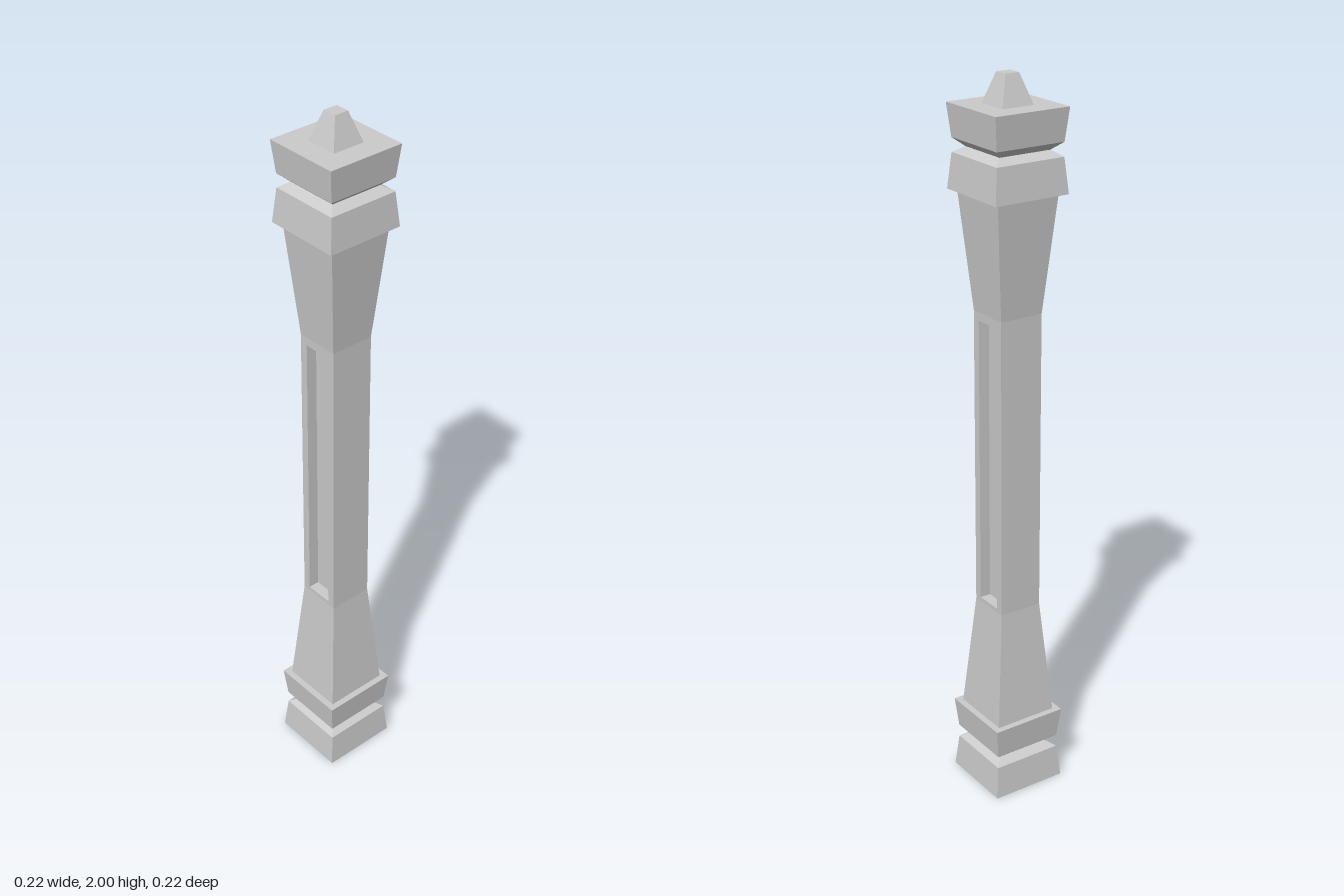
import * as THREE from 'three';

const material = new THREE.MeshStandardMaterial({ color: 0xcccccc, flatShading: true });

function addMesh(parent, name, geometry) {
  const mesh = new THREE.Mesh(geometry, material);
  mesh.name = name;
  parent.add(mesh);
  return mesh;
}

// Square turned part from [half width, height] pairs, listed bottom to top
function squareLoft(profile) {
  const points = profile.map(([half, y]) => new THREE.Vector2(half * Math.SQRT2, y));
  const geometry = new THREE.LatheGeometry(points, 4, Math.PI / 4).toNonIndexed();
  geometry.computeVertexNormals();
  return geometry;
}

// Two flared blocks joined by a V-shaped groove
function grooveProfile(y) {
  return [
    [0, y], [0.109, y], [0.1, y + 0.093], [0.075, y + 0.109],
    [0.1, y + 0.13], [0.109, y + 0.217], [0, y + 0.217],
  ];
}

export function createModel() {
  const model = new THREE.Group();
  model.name = 'post';

  const half = 0.0625, low = 0.55, high = 1.39;
  const slotHalf = 0.04, slotLow = 0.562, slotHigh = 1.367, slotDepth = 0.031;

  // Base and capital share one moulding
  addMesh(model, 'base', squareLoft(grooveProfile(0)));
  addMesh(model, 'capital', squareLoft(grooveProfile(1.705)));
  addMesh(model, 'finial', squareLoft([[0.046, 1.922], [0.02, 2], [0, 2]]));

  // Flared ends of the shaft
  addMesh(model, 'lowerShaft', squareLoft([[0.091, 0.217], [half, low]]));
  addMesh(model, 'upperShaft', squareLoft([[half, high], [0.091, 1.705]]));

  // Straight middle: a core with a slotted panel on each side
  const core = new THREE.BoxGeometry(2 * (half - slotDepth), high - low, 2 * half);
  addMesh(model, 'shaftCore', core).position.y = (low + high) / 2;

  const rectangle = (Type, w, y0, y1) => new Type([
    new THREE.Vector2(-w, y0), new THREE.Vector2(w, y0),
    new THREE.Vector2(w, y1), new THREE.Vector2(-w, y1),
  ]);
  const panelShape = rectangle(THREE.Shape, half, low, high);
  panelShape.holes.push(rectangle(THREE.Path, slotHalf, slotLow, slotHigh));
  const panel = new THREE.ExtrudeGeometry(panelShape, { depth: slotDepth, bevelEnabled: false });
  panel.translate(0, 0, half - slotDepth);
  for (const [name, side] of [['leftSlotPanel', 1], ['rightSlotPanel', -1]]) {
    addMesh(model, name, panel).rotation.y = side * Math.PI / 2;
  }

  return model;
}
